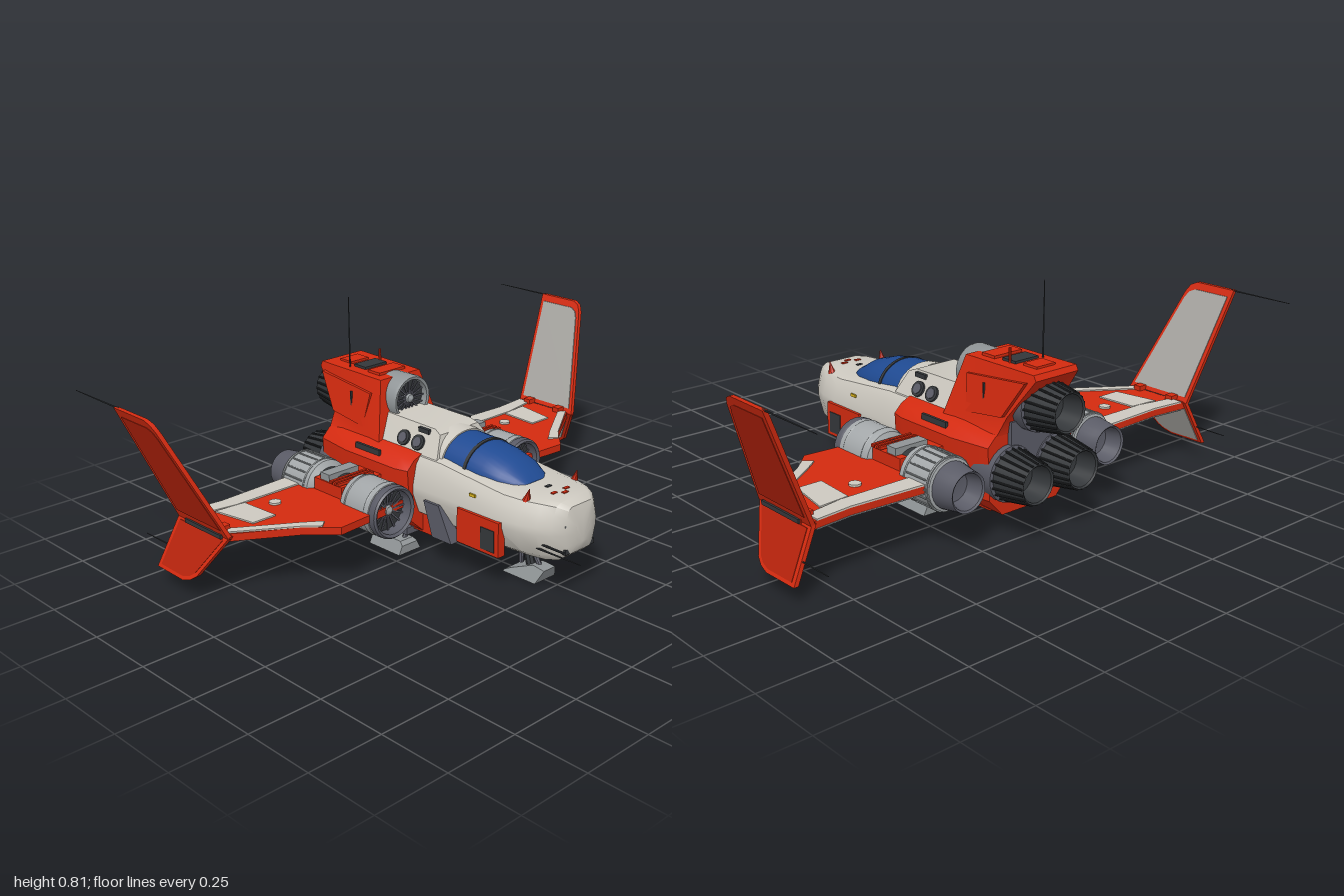
import * as THREE from 'three';
import { toCreasedNormals } from 'three/addons/utils/BufferGeometryUtils.js';

const RED = 0xd42a0f, WHITE = 0xcdc9c0, GREY = 0x8f9496, STEEL = 0x5a5b66, DARK = 0x34373a, BLUE = 0x1f4a92;
const mats = {};
const mat = (c) => (mats[c] ??= new THREE.MeshStandardMaterial({ color: c, side: THREE.DoubleSide }));
const V = (x, y, z) => new THREE.Vector3(x, y, z);

function add(parent, name, geo, color, x = 0, y = 0, z = 0) {
  const m = new THREE.Mesh(toCreasedNormals(geo, 0.6), mat(color));
  m.name = name;
  m.position.set(x, y, z);
  parent.add(m);
  return m;
}
const box = (p, name, color, w, h, d, x, y, z) => add(p, name, new THREE.BoxGeometry(w, h, d), color, x, y, z);

// thin rod between two points
function rod(p, name, color, a, b, r, r2 = r) {
  const d = b.clone().sub(a);
  const m = add(p, name, new THREE.CylinderGeometry(r2, r, d.length(), 8), color);
  m.position.copy(a).addScaledVector(d, 0.5);
  m.quaternion.setFromUnitVectors(V(0, 1, 0), d.normalize());
  return m;
}

// turned part along z, profile of [radius, z]
const turned = (pts, n = 28) =>
  new THREE.LatheGeometry(pts.map(([r, z]) => new THREE.Vector2(r, z)), n).rotateX(Math.PI / 2);

// outline of [z, y] given width; place(w, y) returns x for w = -1..1
function slab(pts, place) {
  const g = new THREE.ExtrudeGeometry(new THREE.Shape(pts.map(([z, y]) => new THREE.Vector2(z, y))), { depth: 2, bevelEnabled: false });
  g.translate(0, 0, -1).rotateY(-Math.PI / 2);
  const p = g.attributes.position;
  for (let i = 0; i < p.count; i++) p.setX(i, place(p.getX(i), p.getY(i)));
  return g;
}

// flat outline of [x, z] mirrored by s, given thickness in y
const plate = (pts, s, h) =>
  new THREE.ExtrudeGeometry(new THREE.Shape(pts.map(([x, z]) => new THREE.Vector2(x * s, -z))), { depth: h, bevelEnabled: false }).rotateX(-Math.PI / 2);

// loft of half sections { z, pts } from front to back, mirrored in x, capped
function loft(sections) {
  const pos = [], idx = [];
  const rings = sections.map(({ z, pts }) => {
    const back = pts.slice(1, -1).reverse().map(([x, y]) => [-x, y]);
    return [...pts, ...back].map(([x, y]) => [x, y, z]);
  });
  const n = rings[0].length, last = rings.length - 1;
  rings.forEach((r) => r.forEach((v) => pos.push(...v)));
  for (let s = 0; s < last; s++) for (let i = 0; i < n; i++) {
    const a = s * n + i, b = s * n + (i + 1) % n;
    idx.push(a, a + n, b, b, a + n, b + n);
  }
  for (let i = 1; i < n - 1; i++) idx.push(0, i, i + 1, last * n, last * n + i + 1, last * n + i);
  const g = new THREE.BufferGeometry();
  g.setAttribute('position', new THREE.Float32BufferAttribute(pos, 3));
  g.setIndex(idx);
  return g;
}
const hullSection = ([z, w, b, t]) => ({ z, pts: [[0, b], [w * 0.62, b], [w * 0.84, b + 0.025], [w, 0.225], [w, 0.25], [w * 0.9, t - 0.035], [w * 0.8, t - 0.01], [w * 0.62, t], [0, t]] });
const domeSection = ([z, w, h]) => ({ z, pts: [[0, 0.32], ...Array.from({ length: 9 }, (_, i) => [w * Math.cos(i * Math.PI / 16), 0.33 + h * Math.sin(i * Math.PI / 16)])] });

// ring of radial fan blades facing +z
function fan(p, r, x, y, z) {
  const g = new THREE.Group();
  g.name = 'intakeFan';
  g.position.set(x, y, z);
  add(g, 'fanBack', new THREE.CircleGeometry(r, 28), DARK);
  for (let i = 0; i < 16; i++) {
    const b = box(g, 'fanBlade', STEEL, r * 0.72, r * 0.08, 0.004, 0, 0, 0.008);
    const a = i * Math.PI / 8;
    b.position.set(Math.cos(a) * r * 0.6, Math.sin(a) * r * 0.6, 0.008);
    b.rotation.set(0, 0, a);
  }
  add(g, 'fanHub', turned([[r * 0.28, 0], [r * 0.2, 0.018], [0, 0.028]], 16), GREY);
  p.add(g);
}

// rear exhaust with petal ribs
function exhaust(p, x, y, zEnd) {
  const g = new THREE.Group();
  g.name = 'mainEngine';
  g.position.set(x, y, zEnd);
  add(g, 'engineCollar', turned([[0.075, 0.115], [0.094, 0.12], [0.097, 0.2], [0.085, 0.24]]), STEEL);
  add(g, 'engineNozzle', turned([[0, 0.09], [0.05, 0.08], [0.06, 0.005], [0.066, 0], [0.086, 0.13]], 20), DARK);
  for (let i = 0; i < 20; i++) {
    const a = i * Math.PI / 10, c = Math.cos(a), s = Math.sin(a);
    rod(g, 'nozzleRib', 0x222426, V(c * 0.067, s * 0.067, 0.004), V(c * 0.087, s * 0.087, 0.125), 0.004);
  }
  p.add(g);
}

function buildFuselage(g) {
  add(g, 'noseHull', loft([[0.6, 0.035, 0.19, 0.275], [0.588, 0.075, 0.155, 0.315], [0.56, 0.108, 0.132, 0.328], [0.52, 0.135, 0.125, 0.332],
    [0.46, 0.158, 0.125, 0.332], [0.38, 0.17, 0.125, 0.333], [0.1, 0.172, 0.125, 0.36], [-0.2, 0.17, 0.125, 0.36]].map(hullSection)), WHITE);
  add(g, 'canopyGlass', loft([[0.395, 0.045, 0.004], [0.37, 0.075, 0.028], [0.32, 0.1, 0.058], [0.25, 0.112, 0.08], [0.17, 0.115, 0.092], [0.06, 0.115, 0.097]].map(domeSection)), BLUE);
  add(g, 'canopyFrame', loft([[0.19, 0.118, 0.093], [0.178, 0.118, 0.094]].map(domeSection)), DARK);
  add(g, 'canopyRearFrame', loft([[0.085, 0.122, 0.1], [0.03, 0.125, 0.106]].map(domeSection)), WHITE);
  add(g, 'cabin', slab([[0.09, 0.31], [0.05, 0.425], [0.02, 0.437], [-0.24, 0.44], [-0.24, 0.31]], (w, y) => w * (0.155 - (y - 0.31) * 0.56)), WHITE);
  box(g, 'chinSlot', DARK, 0.14, 0.018, 0.02, 0, 0.165, 0.578);
  box(g, 'noseSeam', GREY, 0.15, 0.005, 0.02, 0, 0.255, 0.579);
  for (const [x, z] of [[-0.03, 0.5], [0, 0.52], [0.03, 0.5], [0, 0.45]]) box(g, 'noseMark', z < 0.5 ? DARK : RED, 0.022, 0.006, 0.012, x, 0.332, z);
  for (const s of [-1, 1]) {
    box(g, 'cheekPanel', RED, 0.03, 0.12, 0.185, s * 0.166, 0.182, 0.31);
    box(g, 'cheekVent', DARK, 0.004, 0.075, 0.06, s * 0.182, 0.172, 0.355);
    add(g, 'sideFairing', slab([[0.19, 0.1], [0.1, 0.1], [0.06, 0.22], [0.13, 0.22]], (w) => s * 0.158 + w * 0.022), STEEL);
    rod(g, 'noseSpike', RED, V(s * 0.115, 0.32, 0.46), V(s * 0.115, 0.362, 0.472), 0.014, 0.001);
    box(g, 'cabinVent', DARK, 0.012, 0.016, 0.05, s * 0.095, 0.425, -0.02);
    box(g, 'hullStripe', 0xd8b21c, 0.006, 0.01, 0.025, s * 0.163, 0.295, 0.27);
    for (const z of [-0.03, -0.1]) {
      const w = add(g, 'porthole', new THREE.CylinderGeometry(0.027, 0.027, 0.018, 20).rotateZ(Math.PI / 2), DARK, s * 0.113, 0.383, z);
      w.rotation.z = s * 0.51;
      const c = add(g, 'portholeGlass', new THREE.CylinderGeometry(0.017, 0.017, 0.023, 16).rotateZ(Math.PI / 2), STEEL, s * 0.113, 0.383, z);
      c.rotation.z = s * 0.51;
    }
  }
  // red centre body, keel and engine tower
  const body = (z, w) => ({ z, pts: [[0, 0.07], [0.12, 0.07], [w - 0.01, 0.13], [w, 0.31], [w - 0.03, 0.34], [0.12, 0.36], [0, 0.36]] });
  add(g, 'centreBody', loft([body(0, 0.195), body(-0.05, 0.208), body(-0.3, 0.208), body(-0.45, 0.185)]), RED);
  add(g, 'keel', slab([[0.1, 0.068], [-0.4, 0.068], [-0.43, 0.14], [0.1, 0.14]], (w) => w * 0.125), RED);
  add(g, 'engineTower', slab([[-0.19, 0.34], [-0.24, 0.55], [-0.55, 0.553], [-0.56, 0.535], [-0.46, 0.4], [-0.45, 0.34]],
    (w, y) => w * (y > 0.5 ? 0.092 : y > 0.38 ? 0.115 : 0.15)), RED);
  for (let i = 0; i < 3; i++) box(g, 'towerRoofPanel', i === 1 ? DARK : RED, 0.12 - i * 0.02, 0.014, 0.06, 0, 0.553, -0.31 - i * 0.085);
  for (const s of [-1, 1]) {
    add(g, 'towerSidePanel', slab([[-0.27, 0.5], [-0.53, 0.525], [-0.45, 0.4], [-0.29, 0.38]], (w, y) => s * (0.128 - (y - 0.38) * 0.17) + w * 0.008), RED);
    box(g, 'towerSeam', DARK, 0.006, 0.1, 0.006, s * 0.123, 0.44, -0.36);
    box(g, 'bodyVent', DARK, 0.01, 0.02, 0.12, s * 0.19, 0.337, -0.2);
  }
  add(g, 'towerIntake', turned([[0.082, -0.28], [0.084, -0.19], [0.08, -0.178], [0.07, -0.18], [0.068, -0.23]]), GREY, 0, 0.475, 0);
  fan(g, 0.07, 0, 0.475, -0.205);
  exhaust(g, 0, 0.43, -0.62);
  for (const s of [-1, 1]) exhaust(g, s * 0.1, 0.21, -0.59);
  box(g, 'tailPlate', STEEL, 0.2, 0.16, 0.03, 0, 0.3, -0.45);
}

function buildNacelle(g, s) {
  const n = new THREE.Group();
  n.name = 'sideEngine';
  n.position.set(s * 0.312, 0.215, 0);
  add(n, 'rearNozzle', turned([[0, -0.43], [0.05, -0.44], [0.06, -0.5], [0.067, -0.505], [0.07, -0.48], [0.078, -0.43], [0.078, -0.41]]), STEEL);
  add(n, 'rearCasing', turned([[0.07, -0.425], [0.087, -0.42], [0.09, -0.28], [0.07, -0.265]]), 0xa3a7a9);
  add(n, 'engineCore', turned([[0.068, -0.28], [0.068, -0.1]]), DARK);
  add(n, 'frontCasing', turned([[0.065, -0.12], [0.086, -0.11], [0.091, -0.09], [0.091, 0.03], [0.085, 0.035]]), 0xa3a7a9);
  add(n, 'intakeLip', turned([[0.088, 0.03], [0.092, 0.04], [0.09, 0.06], [0.084, 0.067], [0.075, 0.06], [0.072, 0]]), STEEL);
  for (const z of [-0.41, -0.3, -0.085, 0.01]) add(n, 'casingBand', new THREE.TorusGeometry(0.089, 0.004, 6, 28), GREY, 0, 0, z);
  for (let i = 0; i < 18; i++) {
    const a = i * Math.PI / 9;
    rod(n, 'casingRib', GREY, V(Math.cos(a) * 0.089, Math.sin(a) * 0.089, -0.4), V(Math.cos(a) * 0.09, Math.sin(a) * 0.09, -0.31), 0.003);
  }
  fan(n, 0.074, 0, 0, 0.02);
  box(n, 'enginePylon', RED, 0.2, 0.11, 0.14, -s * 0.03, 0, -0.19);
  box(n, 'engineBridge', GREY, 0.13, 0.03, 0.045, s * 0.0, 0.065, -0.21);
  for (let i = 0; i < 3; i++) box(n, 'enginePipe', RED, 0.16, 0.01, 0.01, 0, 0.065, -0.13 - i * 0.018);
  g.add(n);
}

function buildWing(g, s) {
  add(g, 'wing', plate([[0.19, 0.02], [0.39, 0.04], [0.53, 0.05], [0.62, -0.04], [0.825, -0.17], [0.825, -0.4], [0.67, -0.385], [0.38, -0.4], [0.19, -0.38]], s, 0.026), RED, 0, 0.202, 0);
  const panels = [[[0.4, -0.4], [0.67, -0.387], [0.8, -0.4], [0.8, -0.35], [0.66, -0.325], [0.4, -0.325]],
    [[0.63, -0.32], [0.74, -0.33], [0.71, -0.17], [0.62, -0.17]],
    [[0.57, 0.005], [0.62, -0.04], [0.815, -0.17], [0.79, -0.19], [0.6, -0.065], [0.54, -0.02]]];
  for (const p of panels) add(g, 'wingPanel', plate(p, s, 0.006), WHITE, 0, 0.227, 0);
  add(g, 'wingFlap', plate([[0.4, -0.4], [0.67, -0.387], [0.8, -0.4], [0.8, -0.35], [0.66, -0.325], [0.4, -0.325]], s, 0.004), GREY, 0, 0.199, 0);
  add(g, 'wingCap', new THREE.CylinderGeometry(0.02, 0.02, 0.008, 16), WHITE, s * 0.555, 0.231, -0.255);
  rod(g, 'underwingPost', DARK, V(s * 0.54, 0.205, -0.18), V(s * 0.54, 0.17, -0.18), 0.008);
  add(g, 'underwingSensor', new THREE.SphereGeometry(0.017, 14, 10), STEEL, s * 0.54, 0.16, -0.18);
  // canted tip fin, pale on its inner face
  const upper = [[-0.14, 0.22], [-0.25, 0.585], [-0.265, 0.61], [-0.29, 0.622], [-0.455, 0.622], [-0.41, 0.22]];
  const lower = [[-0.14, 0.225], [-0.41, 0.225], [-0.43, 0.06], [-0.29, 0.058], [-0.255, 0.068], [-0.23, 0.085]];
  const fins = [[upper, (y) => 0.82 + (y - 0.22) * 0.44, -0.307, 0.42], [lower, (y) => 0.82 + (0.22 - y) * 0.5, -0.31, 0.14]];
  for (const [pts, at, cz, cy] of fins) {
    const inset = (k) => pts.map(([z, y]) => [cz + (z - cz) * k, cy + (y - cy) * k]);
    add(g, 'tipFin', slab(pts, (w, y) => s * at(y) + w * 0.008), RED);
    add(g, 'finInnerPanel', slab(inset(0.88), (w, y) => s * (at(y) - 0.008) + w * 0.003), 0xa9a7a2);
    add(g, 'finOuterPanel', slab(inset(0.86), (w, y) => s * (at(y) + 0.008) + w * 0.002), 0xb8230c);
  }
  box(g, 'finHinge', DARK, 0.026, 0.014, 0.19, s * 0.826, 0.222, -0.265);
  for (const z of [-0.2, -0.35]) box(g, 'finBracket', RED, 0.045, 0.04, 0.03, s * 0.81, 0.226, z);
  rod(g, 'finAntenna', DARK, V(s * 0.995, 0.62, -0.44), V(s * 0.995, 0.62, -0.69), 0.003, 0.0012);
  rod(g, 'finAntenna', DARK, V(s * 0.868, 0.127, -0.32), V(s * 0.868, 0.127, -0.545), 0.003, 0.0015);
}

// skid foot with strut
function buildGear(g, x, z, front) {
  const foot = front ? [[0.08, 0.045], [0.03, 0.05], [-0.05, 0.02], [-0.08, 0.006], [-0.08, 0], [0.06, 0]] : [[0.075, 0.03], [0.06, 0.042], [-0.06, 0.042], [-0.075, 0.03], [-0.075, 0], [0.075, 0]];
  add(g, 'landingSkid', slab(foot, (w, y) => w * (0.05 - y * 0.5)), GREY, x, 0, z);
  const hip = front ? V(0, 0.14, z - 0.03) : V(x * 0.62, 0.1, z);
  rod(g, 'landingStrut', DARK, V(x, 0.03, z), hip, 0.016);
  for (const s of [-1, 1]) rod(g, 'landingBrace', STEEL, V(x, 0.03, z + s * 0.045), hip.clone().add(V(0, -0.015, s * 0.015)), 0.009);
  if (!front) box(g, 'gearHousing', STEEL, 0.07, 0.025, 0.11, x * 0.75, 0.065, z);
}

export function createModel() {
  const g = new THREE.Group();
  g.name = 'spacecraft';
  buildFuselage(g);
  for (const s of [-1, 1]) {
    buildNacelle(g, s);
    buildWing(g, s);
    buildGear(g, s * 0.165, -0.1, false);
  }
  buildGear(g, 0, 0.385, true);
  // aerials
  rod(g, 'mastAntenna', DARK, V(-0.065, 0.54, -0.43), V(-0.065, 0.805, -0.43), 0.003, 0.0015);
  rod(g, 'shortAntenna', RED, V(0.05, 0.54, -0.4), V(0.05, 0.6, -0.4), 0.005);
  rod(g, 'noseAntenna', DARK, V(-0.12, 0.175, 0.5), V(-0.12, 0.175, 0.69), 0.004, 0.0015);
  rod(g, 'noseAntenna', DARK, V(-0.115, 0.19, 0.5), V(-0.115, 0.19, 0.62), 0.004);
  return g;
}
